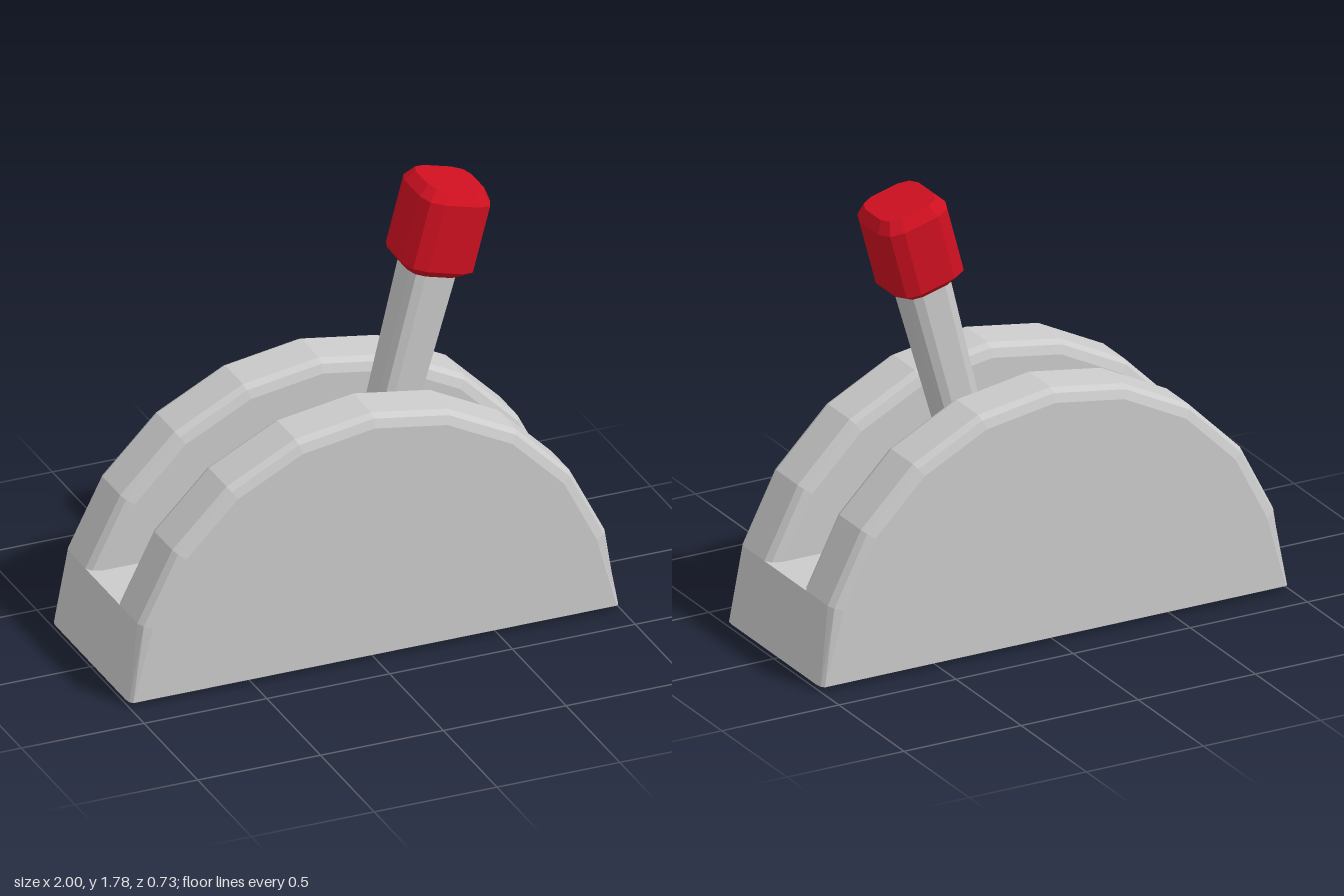
import * as THREE from 'three';

// Joins rings of [x, y] points stacked along +z into a closed solid.
// Each ring is { z, pts } with pts counter-clockwise seen from +z.
function loft(rings) {
  const pos = [];
  const index = [];
  const n = rings[0].pts.length;
  for (const { z, pts } of rings) for (const [x, y] of pts) pos.push(x, y, z);
  for (let r = 0; r < rings.length - 1; r++) {
    for (let i = 0; i < n; i++) {
      const a = r * n + i, b = r * n + (i + 1) % n;
      index.push(a, b, b + n, a, b + n, a + n);
    }
  }
  const top = (rings.length - 1) * n;
  for (let i = 1; i < n - 1; i++) {
    index.push(0, i + 1, i);
    index.push(top, top + i, top + i + 1);
  }
  const geo = new THREE.BufferGeometry();
  geo.setAttribute('position', new THREE.Float32BufferAttribute(pos, 3));
  geo.setIndex(index);
  const flat = geo.toNonIndexed();
  flat.computeVertexNormals();
  return flat;
}

const FLOOR = 0.02;
const STEPS = 10;

// Half-round outline, inset by a bevel that narrows towards the base
function halfRound(inset) {
  const pts = [];
  for (let i = 0; i <= STEPS; i++) {
    const a = (Math.PI * i) / STEPS;
    const end = i === 0 || i === STEPS;
    const r = 1 - inset * (end ? 0.3 : 1);
    pts.push([r * Math.cos(a), FLOOR + r * Math.sin(a)]);
  }
  return pts;
}

// Square outline with two facets on every corner
function softSquare(half) {
  const corner = [[1, 0.5], [0.85, 0.85], [0.5, 1]];
  const pts = [];
  for (let q = 0; q < 4; q++) {
    const c = Math.round(Math.cos(q * Math.PI / 2));
    const s = Math.round(Math.sin(q * Math.PI / 2));
    for (const [x, y] of corner) pts.push([half * (x * c - y * s), half * (x * s + y * c)]);
  }
  return pts;
}

// Upright post from [height, half width] pairs
function post(levels) {
  const geo = loft(levels.map(([z, half]) => ({ z, pts: softSquare(half) })));
  return geo.rotateX(-Math.PI / 2);
}

export function createModel() {
  const group = new THREE.Group();
  const grey = new THREE.MeshStandardMaterial({ color: 0xcccccc, flatShading: true });
  const red = new THREE.MeshStandardMaterial({ color: 0xd01020, flatShading: true });

  function add(parent, name, geometry, material) {
    const mesh = new THREE.Mesh(geometry, material);
    mesh.name = name;
    parent.add(mesh);
    return mesh;
  }

  // Two bevelled half-round cheeks either side of the slot
  const inner = 0.12, outer = 0.365;
  const bevel = [[0, 0.05], [0.013, 0.015], [0.04, 0]];
  const section = [
    ...bevel.map(([d, inset]) => ({ z: inner + d, pts: halfRound(inset) })),
    ...bevel.map(([d, inset]) => ({ z: outer - d, pts: halfRound(inset) })).reverse(),
  ];
  const cheek = loft(section);
  add(group, 'frontCheek', cheek, grey);
  add(group, 'backCheek', cheek, grey).rotation.y = Math.PI;

  // Low block that joins the cheeks and forms the slot floor
  const a = Math.PI / STEPS;
  const tx = Math.cos(a), ty = FLOOR + Math.sin(a);
  const blockOutline = [[-1, FLOOR], [1, FLOOR], [tx, ty], [-tx, ty]];
  add(group, 'slotFloor', loft([-0.16, 0.16].map((z) => ({ z, pts: blockOutline }))), grey);

  // Tilted lever with its knob
  const lever = new THREE.Group();
  lever.name = 'lever';
  lever.position.y = FLOOR;
  lever.rotation.z = -Math.PI / 12;
  group.add(lever);
  add(lever, 'leverShaft', post([[0, 0.067], [1.5, 0.099]]), grey);
  add(lever, 'leverKnob', post([[1.435, 0.108], [1.47, 0.148], [1.745, 0.148], [1.79, 0.118]]), red);

  return group;
}
